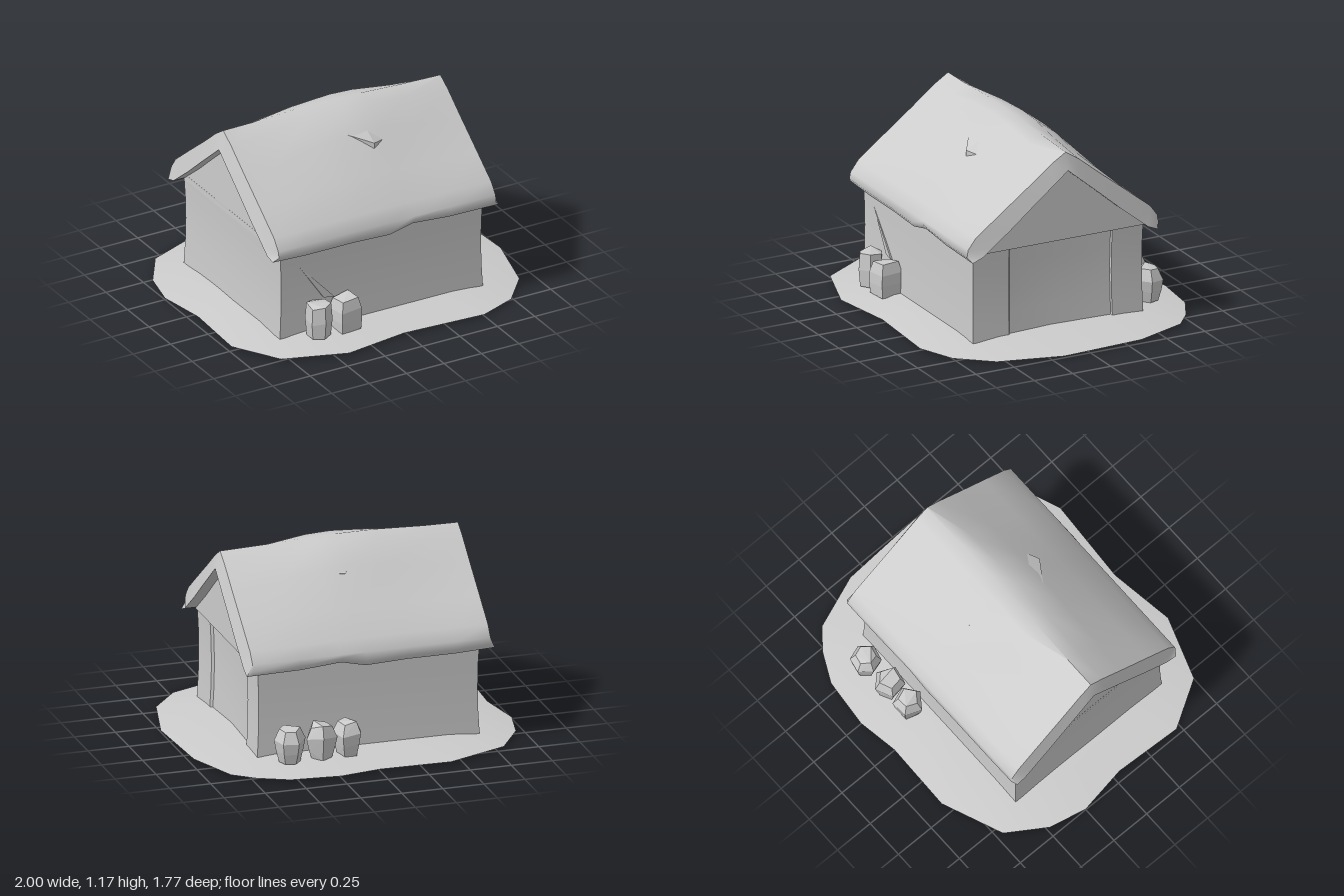
import * as THREE from 'three';
import { toCreasedNormals } from 'three/addons/utils/BufferGeometryUtils.js';
import { ConvexGeometry } from 'three/addons/geometries/ConvexGeometry.js';

const clay = new THREE.MeshStandardMaterial({ color: 0xcccccc });
clay.name = 'clay grey';

const hull = (points) => new ConvexGeometry(points.map((p) => new THREE.Vector3(...p)));

function add(parent, name, geometry) {
  const mesh = new THREE.Mesh(geometry, clay);
  mesh.name = name;
  parent.add(mesh);
  return mesh;
}

// Skin closed rings of equal length, plus optional extra quads
function skin(rings, crease, extraQuads = []) {
  const n = rings[0].length, index = [];
  const quad = (a, b, c, d) => index.push(a, b, c, a, c, d);
  for (let s = 0; s < rings.length - 1; s++) {
    for (let i = 0; i < n; i++) {
      const j = (i + 1) % n;
      quad(s * n + i, (s + 1) * n + i, (s + 1) * n + j, s * n + j);
    }
  }
  extraQuads.forEach((q) => quad(...q));
  const g = new THREE.BufferGeometry();
  g.setAttribute('position', new THREE.Float32BufferAttribute(rings.flat(2), 3));
  g.setIndex(index);
  return toCreasedNormals(g, crease);
}

// Irregular mound of earth under the house, thin at the rim
function groundGeometry() {
  const outline = [
    [-1, -0.25], [-0.95, -0.48], [-0.8, -0.71], [-0.43, -0.86], [0, -0.85], [0.25, -0.89],
    [0.55, -0.86], [0.73, -0.77], [0.85, -0.67], [0.97, -0.35], [1, 0.17], [0.9, 0.56],
    [0.73, 0.76], [0.5, 0.85], [-0.02, 0.82], [-0.42, 0.88], [-0.8, 0.75], [-0.97, 0.47], [-0.95, 0.05],
  ];
  const ring = (k, y) => outline.map(([x, z]) => [x * k, y, z * k]);
  return skin([ring(0, 0), ring(1, 0.01), ring(0.72, 0.055), ring(0, 0.06)], 0.5);
}

// Thick roof: a gable-shaped shell skinned along x, swollen near the middle of the ridge
function roofGeometry() {
  const outer = [[0, 1.14], [0.09, 1.085], [0.24, 0.97], [0.43, 0.83], [0.59, 0.71], [0.64, 0.645], [0.647, 0.59]];
  const inner = [[0, 1.035], [0.09, 0.963], [0.22, 0.86], [0.38, 0.73], [0.5, 0.64], [0.56, 0.595], [0.625, 0.56]];
  const swell = [0.3, 0.9, 1, 0.35, 0.1, 0, 0];
  const mid = outer.length - 1, n = 2 * (2 * mid + 1);
  // front eave -> ridge -> back eave
  const across = (half) => [
    ...half.slice().reverse(),
    ...half.slice(1).map(([z, y]) => [-z * 0.94, y]),
  ];
  // outer x, inner x, ridge lift, swelling, eave lift
  const stations = [
    [-0.755, -0.785, 0.012, 0, 0.02], [-0.55, -0.55, 0.012, 0.008, 0.01], [-0.25, -0.25, 0.012, 0.05, 0.01],
    [0, 0, 0.003, 0.075, 0], [0.15, 0.15, 0, 0.07, 0.035], [0.4, 0.4, 0, 0.03, 0.015],
    [0.695, 0.725, 0, 0, 0.01],
  ];
  const rings = stations.map(([xo, xi, lift, bulge, eave]) => {
    const top = across(outer).map(([z, y], i) => {
      const k = Math.abs(i - mid);
      return [xo, y + lift * (1 - k / mid) + bulge * swell[k] + (k === mid ? eave : 0), z];
    });
    const under = across(inner).reverse().map(([z, y], i) => [xi, y + (i % (2 * mid) === 0 ? eave : 0), z]);
    return [...top, ...under];
  });
  const caps = [], last = (stations.length - 1) * n;
  for (let i = 0; i < 2 * mid; i++) {
    const j = n - 1 - i;
    caps.push([i, i + 1, j - 1, j], [last + i, last + j, last + j - 1, last + i + 1]);
  }
  return skin(rings, 1.0, caps);
}

// Walls from a floor plan (x, z) with a shallow panel recess in the +x end
function wallsGeometry() {
  const plan = [
    [-0.7, 0.575], [0.635, 0.575], [0.635, 0.34], [0.62, 0.33], [0.6, 0.05],
    [0.615, -0.33], [0.635, -0.33], [0.635, -0.53], [-0.7, -0.53],
  ];
  const shape = new THREE.Shape(plan.map(([x, z]) => new THREE.Vector2(x, -z)));
  const g = new THREE.ExtrudeGeometry(shape, { depth: 0.58, steps: 4, bevelEnabled: false });
  g.rotateX(-Math.PI / 2).translate(0, 0.04, 0);
  // slight waist and flare
  const p = g.attributes.position;
  for (let i = 0; i < p.count; i++) {
    const t = (p.getY(i) - 0.04) / 0.58;
    p.setX(i, p.getX(i) * (1 + 0.015 * (2 * t - 1) ** 2));
    p.setZ(i, p.getZ(i) * (1.01 - 0.01 * Math.sin(t * Math.PI)));
  }
  return toCreasedNormals(g, 0.5);
}

// Triangular loft block closing both ends under the roof
function gableGeometry() {
  const shape = new THREE.Shape([[-0.575, 0.585], [0.54, 0.585], [0, 1.045]].map((p) => new THREE.Vector2(...p)));
  const g = new THREE.ExtrudeGeometry(shape, { depth: 1.365, bevelEnabled: false });
  return g.rotateY(Math.PI / 2).translate(-0.71, 0, 0);
}

// Lumpy container: stacked irregular rings, hulled
function lump(sides, radii, height, turn) {
  const pts = [];
  radii.forEach((r, k) => {
    for (let i = 0; i < sides; i++) {
      const a = turn + (i / sides) * Math.PI * 2;
      const y = (height * k) / (radii.length - 1) + (k ? 0.012 * Math.sin(i * 2.4 + turn) : 0);
      pts.push([Math.cos(a) * r, y, Math.sin(a) * r]);
    }
  });
  return hull(pts);
}

export function createModel() {
  const house = new THREE.Group();
  house.name = 'cottage';
  add(house, 'ground', groundGeometry());
  add(house, 'walls', wallsGeometry());
  add(house, 'gables', gableGeometry());
  add(house, 'roof', roofGeometry());

  // Lifted lips of thatch on both slopes
  add(house, 'frontRoofLip', hull([
    [-0.2, 1.1, 0.14], [0.07, 1.0, 0.32], [0.07, 0.93, 0.32], [0.21, 0.985, 0.26],
    [0.07, 1.1, 0.14], [0.07, 0.95, 0.2],
  ]));
  add(house, 'backRoofLip', hull([
    [-0.17, 1.11, -0.12], [0.02, 1.015, -0.26], [0.02, 0.96, -0.26], [0.16, 1.01, -0.24],
    [0.02, 1.1, -0.12], [0.02, 0.95, -0.18],
  ]));

  // Thin sliver of timber leaning flat on the front wall
  add(house, 'leaningPole', hull([
    [-0.585, 0.485, 0.578], [-0.35, 0.23, 0.59], [-0.42, 0.24, 0.585], [-0.36, 0.22, 0.56], [-0.43, 0.25, 0.56],
  ]));

  // Barrels and sacks against the long walls
  const goods = [
    ['frontBarrel', 6, [0.07, 0.08, 0.072], 0.2, 0.5, -0.49, 0.648],
    ['frontCrate', 4, [0.092, 0.098, 0.096, 0.075], 0.195, 0.7, -0.31, 0.645],
    ['backSack', 5, [0.062, 0.08, 0.092, 0.06], 0.2, 0.3, 0.125, -0.635],
    ['backSack', 5, [0.062, 0.08, 0.095, 0.065], 0.2, 1.1, 0.29, -0.64],
    ['backSack', 6, [0.062, 0.08, 0.092, 0.06], 0.2, 0.2, 0.485, -0.65],
  ];
  goods.forEach(([name, sides, radii, h, turn, x, z]) => {
    add(house, name, lump(sides, radii, h, turn)).position.set(x, 0.045, z);
  });
  return house;
}
